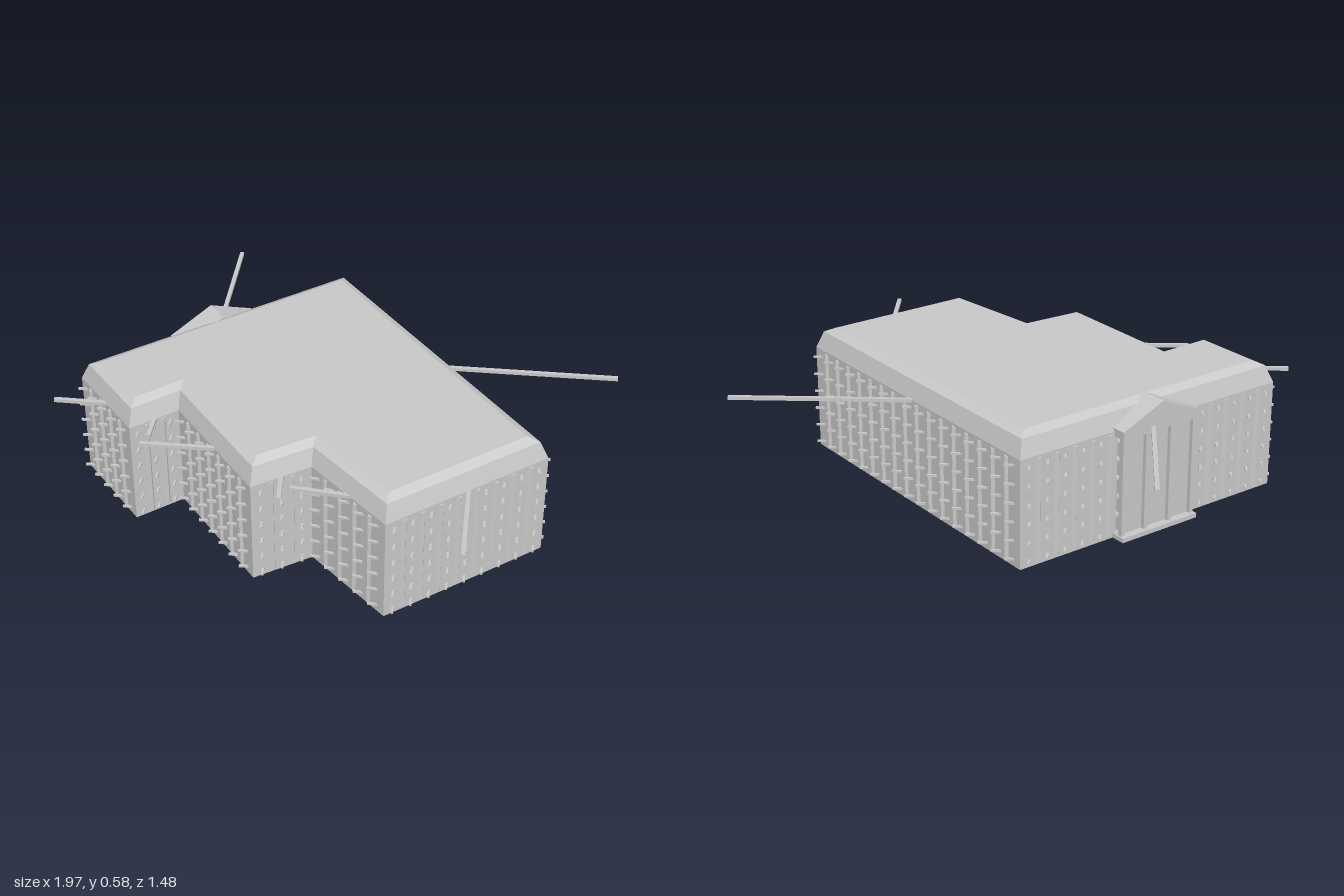
import * as THREE from 'three';
import { mergeGeometries } from 'three/addons/utils/BufferGeometryUtils.js';

// footprint corners (x, z), clockwise seen from above
const PLAN = [
  [-0.404, -0.735], [0.976, -0.072], [0.634, 0.644], [0.195, 0.487],
  [0.06, 0.728], [-0.487, 0.457], [-0.583, 0.67], [-0.98, 0.484],
];
const EAVE = 0.475;

// footprint moved inward by d with mitred corners
function inset(d) {
  const n = PLAN.length;
  const normal = (i) => {
    const a = PLAN[i % n], b = PLAN[(i + 1) % n];
    const l = Math.hypot(b[0] - a[0], b[1] - a[1]);
    return [-(b[1] - a[1]) / l, (b[0] - a[0]) / l];
  };
  return PLAN.map((p, i) => {
    const m = normal(i + n - 1), k = normal(i);
    const s = d / (1 + m[0] * k[0] + m[1] * k[1]);
    return [p[0] + (m[0] + k[0]) * s, p[1] + (m[1] + k[1]) * s];
  });
}

// band of flat quads between two rings
function band(lower, y0, upper, y1) {
  const pos = [];
  lower.forEach((a, i) => {
    const j = (i + 1) % lower.length;
    const i0 = [a[0], y0, a[1]], j0 = [lower[j][0], y0, lower[j][1]];
    const i1 = [upper[i][0], y1, upper[i][1]], j1 = [upper[j][0], y1, upper[j][1]];
    pos.push(...j0, ...i0, ...i1, ...j0, ...i1, ...j1);
  });
  const g = new THREE.BufferGeometry();
  g.setAttribute('position', new THREE.Float32BufferAttribute(pos, 3));
  g.computeVertexNormals();
  return g;
}

export function createModel() {
  const group = new THREE.Group();
  const grey = new THREE.MeshStandardMaterial({ color: 0xc8c8c8, side: THREE.DoubleSide });
  grey.name = 'plain grey';

  const add = (parent, name, geometry) => {
    const mesh = new THREE.Mesh(geometry, grey);
    mesh.name = name;
    parent.add(mesh);
    return mesh;
  };
  const box = (w, h, d, x, y, z, turn = 0) =>
    new THREE.BoxGeometry(w, h, d).rotateY(turn).translate(x, y, z);

  // shell: open below, two roof slopes and a flat top
  const mid = inset(0.027), top = inset(0.065);
  add(group, 'walls', band(PLAN, 0, PLAN, EAVE));
  add(group, 'steepRoofEdge', band(PLAN, EAVE, mid, 0.55));
  add(group, 'shallowRoofEdge', band(mid, 0.55, top, 0.57));
  const outline = new THREE.Shape(top.map(([x, z]) => new THREE.Vector2(x, -z)));
  add(group, 'flatRoof', new THREE.ShapeGeometry(outline).rotateX(-Math.PI / 2).translate(0, 0.57, 0));

  // framing on each wall: studs, short crosspieces and one long rail, turned across the wall
  PLAN.forEach((a, i) => {
    const b = PLAN[(i + 1) % PLAN.length];
    const dx = b[0] - a[0], dz = b[1] - a[1];
    const length = Math.hypot(dx, dz);
    const turn = Math.atan2(dz, dx);
    const cells = Math.max(2, Math.round(length / 0.09));
    const frame = new THREE.Group();
    frame.name = 'wallFrame' + (i + 1);
    group.add(frame);

    const studs = [], crosspieces = [];
    for (let c = 0; c < cells; c++) {
      if (c > 0) {
        const t = c / cells;
        studs.push(box(0.015, 0.45, 0.018, a[0] + dx * t, 0.24, a[1] + dz * t, turn));
      }
      const t = (c + 0.5) / cells;
      for (let r = 0; r < 6; r++) {
        crosspieces.push(box(0.075, 0.009, 0.01, a[0] + dx * t, 0.03 + r * 0.082, a[1] + dz * t, turn));
      }
    }
    add(frame, 'studs', mergeGeometries(studs));
    add(frame, 'crosspieces', mergeGeometries(crosspieces));
    add(frame, 'rail', box(length, 0.015, 0.018, a[0] + dx / 2, 0.472, a[1] + dz / 2, turn));
  });

  // entrance on the long left-hand wall; local x runs along the wall, z points out
  const h = PLAN[7], a = PLAN[0];
  const porch = new THREE.Group();
  porch.name = 'entrance';
  porch.position.set((h[0] + a[0]) / 2, 0, (h[1] + a[1]) / 2);
  porch.rotation.y = Math.atan2(a[1] - h[1], -(a[0] - h[0]));
  group.add(porch);
  add(porch, 'doorPanel', box(0.37, 0.45, 0.03, 0, 0.245, 0.015));
  add(porch, 'threshold', box(0.4, 0.02, 0.065, 0, 0.01, 0.0325));
  add(porch, 'lintel', box(0.4, 0.025, 0.055, 0, 0.465, 0.0275));
  for (const x of [-0.185, -0.065, 0.065, 0.185]) {
    add(porch, 'doorPost', box(0.018, 0.44, 0.02, x, 0.235, 0.037));
  }
  // low gable over the door, running back into the roof
  const gable = new THREE.Shape([
    new THREE.Vector2(-0.205, 0.478), new THREE.Vector2(0.205, 0.478),
    new THREE.Vector2(0.205, 0.49), new THREE.Vector2(0, 0.577), new THREE.Vector2(-0.205, 0.49),
  ]);
  add(porch, 'gable', new THREE.ExtrudeGeometry(gable, { depth: 0.115, bevelEnabled: false }).translate(0, 0, -0.055));

  return group;
}
